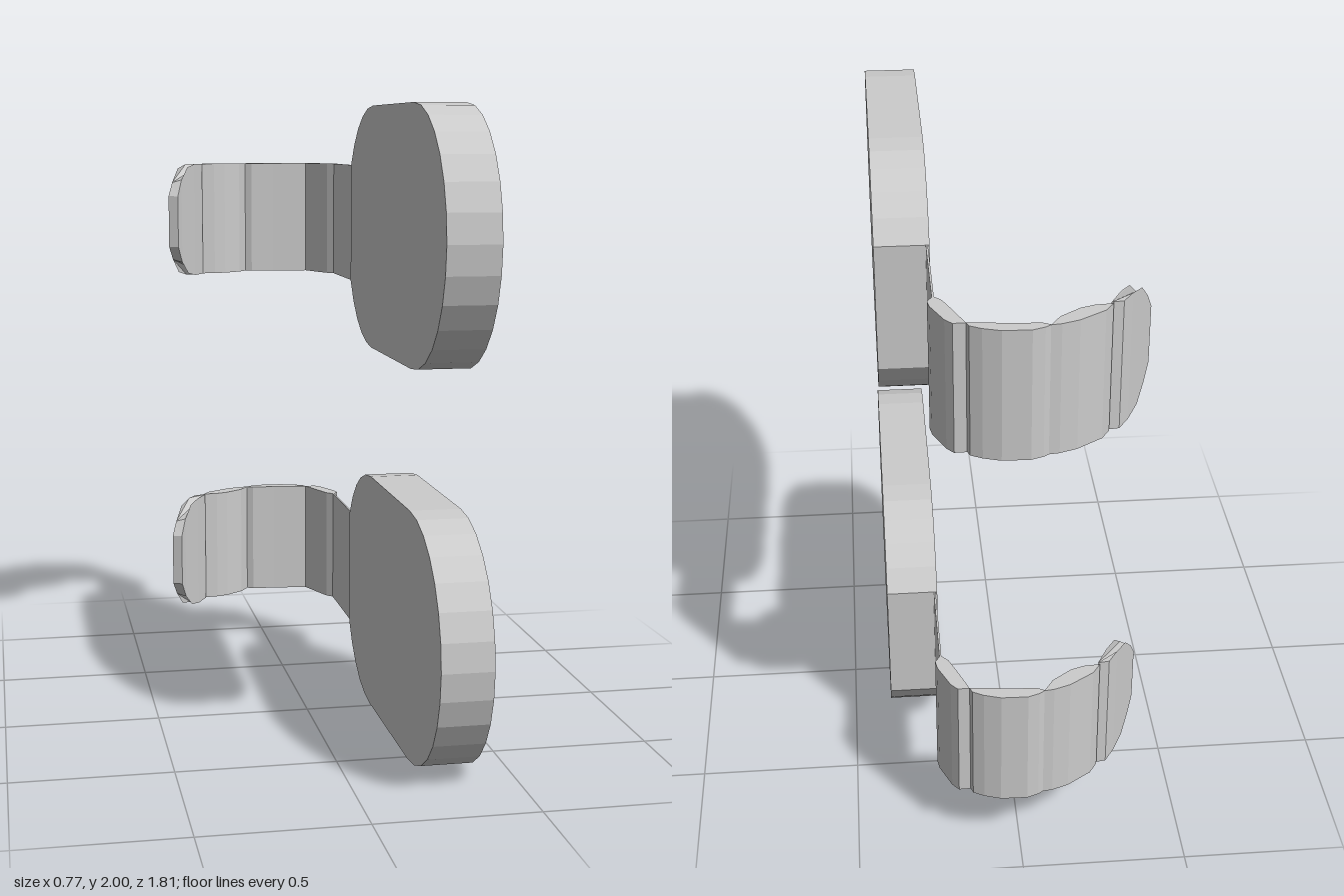
import * as THREE from 'three';

const R = 0.392;        // plate end radius and half height
const STRAP = 0.1975;   // strap half height
const material = new THREE.MeshStandardMaterial({ color: 0xcccccc, flatShading: true });

function addMesh(parent, name, geometry) {
  const mesh = new THREE.Mesh(geometry, material);
  mesh.name = name;
  parent.add(mesh);
  return mesh;
}

// Upright prism, centred on y = 0, from a plan outline of [x, z] points
function prism(plan) {
  const shape = new THREE.Shape(plan.map(([x, z]) => new THREE.Vector2(x, -z)));
  return new THREE.ExtrudeGeometry(shape, { depth: 2 * STRAP, bevelEnabled: false })
    .rotateX(-Math.PI / 2)
    .translate(0, -STRAP, 0);
}

// Rounded plate, cut flat at the back where the strap leaves it
function plateGeometry() {
  const frontZ = 0.515, backZ = -0.026;
  const cut = Math.PI - Math.asin(STRAP / R);
  const points = [];
  const arc = (cz, from, to, steps) => {
    for (let i = 0; i <= steps; i++) {
      const a = from + (to - from) * i / steps;
      points.push(new THREE.Vector2(cz + R * Math.cos(a), R * Math.sin(a)));
    }
  };
  arc(frontZ, -Math.PI / 2, Math.PI / 2, 14);
  arc(backZ, Math.PI / 2, cut, 5);
  arc(backZ, 2 * Math.PI - cut, 1.5 * Math.PI, 5);
  return new THREE.ExtrudeGeometry(new THREE.Shape(points), { depth: 0.16, bevelEnabled: false })
    .rotateY(-Math.PI / 2)
    .translate(0.38, 0, 0);
}

// Plan outlines of the padded links curling around the back
const links = [
  [[0.228, -0.69], [0.245, -0.72], [0.24, -0.75], [0.205, -0.83], [0.185, -0.853],
    [0.15, -0.852], [0.16, -0.825], [0.19, -0.75], [0.205, -0.715]],
  [[0.15, -0.85], [0.143, -0.87], [0.11, -0.888], [0.06, -0.904], [-0.02, -0.906],
    [-0.055, -0.893], [-0.073, -0.88], [-0.05, -0.868], [0.03, -0.863]],
  [[-0.07, -0.882], [-0.1, -0.878], [-0.15, -0.86], [-0.225, -0.81], [-0.25, -0.772],
    [-0.2, -0.776], [-0.16, -0.79], [-0.1, -0.835]],
];

// Last link: same prism, with its height rounded off towards the free end
function tipGeometry() {
  const geometry = prism([[-0.245, -0.765], [-0.28, -0.76], [-0.31, -0.715], [-0.345, -0.655],
    [-0.37, -0.61], [-0.386, -0.582], [-0.355, -0.567], [-0.338, -0.6], [-0.312, -0.645],
    [-0.28, -0.7]]);
  const p = geometry.attributes.position;
  for (let i = 0; i < p.count; i++) {
    const along = (p.getX(i) + 0.245) * -0.49 + (p.getZ(i) + 0.765) * 0.87;
    const u = THREE.MathUtils.clamp((along - 0.09) / 0.13, 0, 1);
    p.setY(i, p.getY(i) * Math.sqrt(1 - 0.8 * u * u));
  }
  geometry.computeVertexNormals();
  return geometry;
}

function createHook(name) {
  const hook = new THREE.Group();
  hook.name = name;
  addMesh(hook, 'plate', plateGeometry());
  // Thin strap between plate and links
  addMesh(hook, 'strap', new THREE.BoxGeometry(0.006, 2 * STRAP, 0.36)).position.set(0.228, 0, -0.52);
  links.forEach((plan, i) => addMesh(hook, `link${i + 1}`, prism(plan)));
  addMesh(hook, 'roundedTip', tipGeometry());
  return hook;
}

export function createModel() {
  const model = new THREE.Group();
  model.name = 'hookPair';
  [['lowerHook', R], ['upperHook', 2 - R]].forEach(([name, y]) => {
    const hook = createHook(name);
    hook.position.y = y;
    model.add(hook);
  });
  return model;
}
